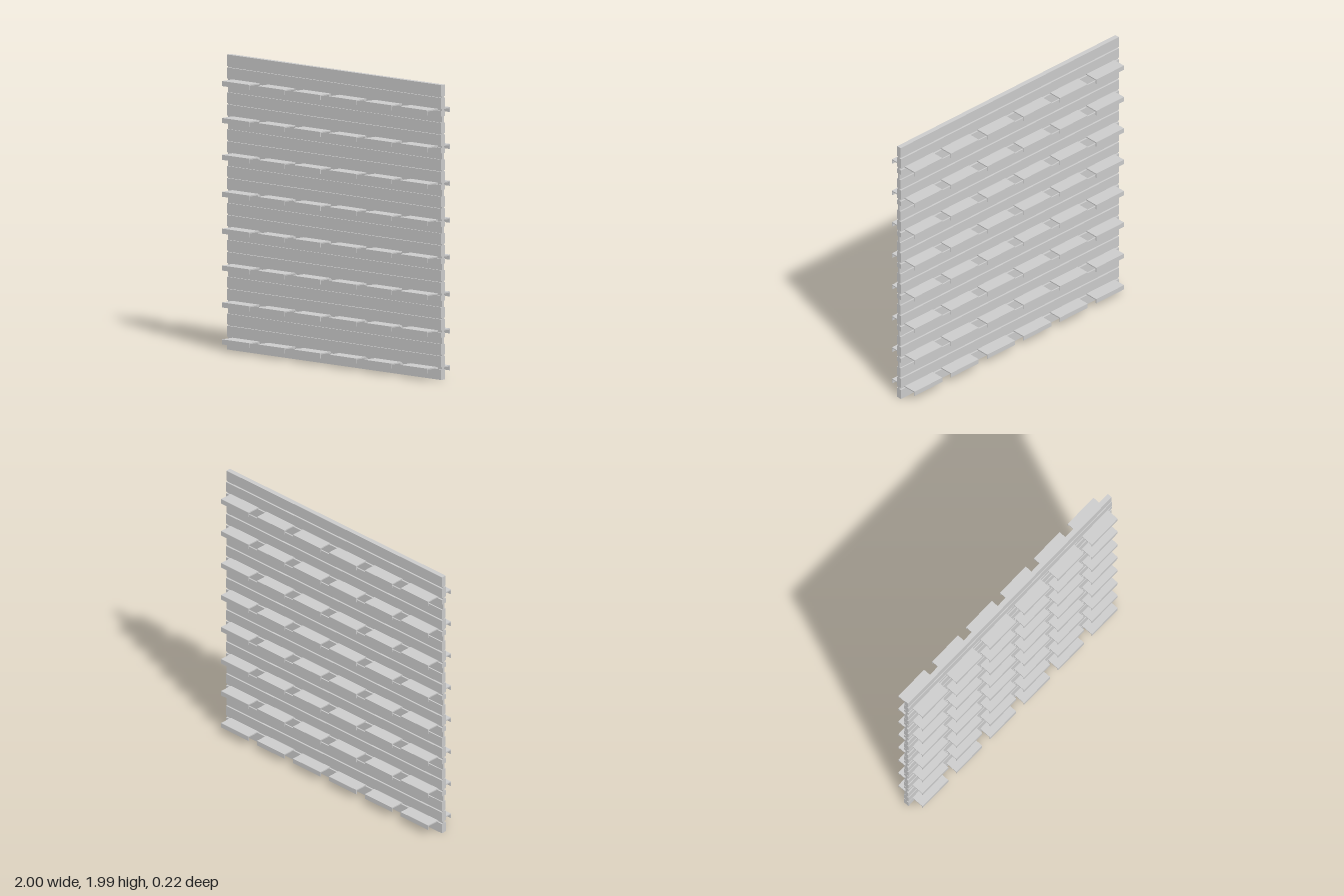
import * as THREE from 'three';

const material = new THREE.MeshStandardMaterial({ color: 0xcccccc, flatShading: true });

// Box given by its lower and upper limits
function block(parent, name, [x0, x1], [y0, y1], [z0, z1]) {
  const mesh = new THREE.Mesh(new THREE.BoxGeometry(x1 - x0, y1 - y0, z1 - z0), material);
  mesh.name = name;
  mesh.position.set((x0 + x1) / 2, (y0 + y1) / 2, (z0 + z1) / 2);
  parent.add(mesh);
}

export function createModel() {
  const model = new THREE.Group();
  model.name = 'slatWall';

  const rows = 8, pitch = 0.249, height = 1.99;
  const shelves = 6, shelfPitch = 0.333, shelfHalf = 0.127;
  const wide = [-1, 1];

  // Thin continuous core seen in the gaps between the slats
  block(model, 'core', wide, [0, height - 0.005], [-0.008, 0.008]);

  for (let r = 0; r < rows; r++) {
    const row = new THREE.Group();
    row.name = 'row' + (r + 1);
    const y = r * pitch;
    model.add(row);

    // Slats run on both faces; the bottom one reaches the ground
    block(row, 'lowerSlat', wide, [r ? y + 0.036 : 0, y + 0.071], [-0.02, 0.02]);
    block(row, 'middleSlat', wide, [y + 0.086, y + 0.16], [-0.02, 0.02]);
    block(row, 'upperSlat', wide, [y + 0.17, y + (r === rows - 1 ? height - (rows - 1) * pitch : 0.241)], [-0.017, 0.017]);

    // Shelf plates pass through the slot, with a lip turned down at each edge
    for (let s = 0; s < shelves; s++) {
      const shelf = new THREE.Group();
      shelf.name = 'shelf' + (s + 1);
      const x = (s - (shelves - 1) / 2) * shelfPitch;
      const span = [x - shelfHalf, x + shelfHalf];
      block(shelf, 'shelfPlate', span, [y + 0.074, y + 0.082], [-0.11, 0.11]);
      block(shelf, 'frontLip', span, [y + 0.048, y + 0.074], [0.105, 0.11]);
      block(shelf, 'backLip', span, [y + 0.048, y + 0.074], [-0.11, -0.105]);
      row.add(shelf);
    }
  }
  return model;
}
